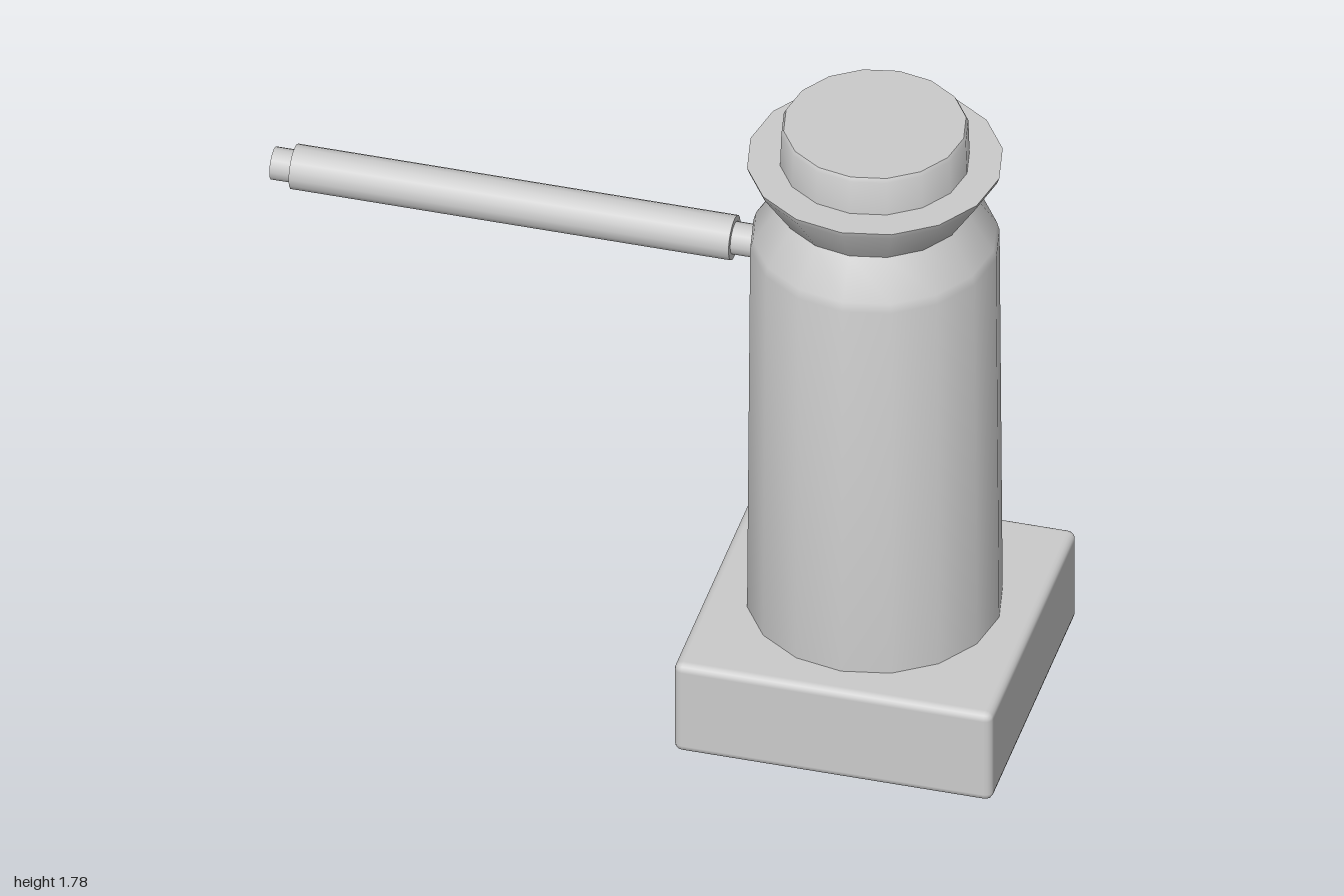
import * as THREE from 'three';
import { toCreasedNormals } from 'three/addons/utils/BufferGeometryUtils.js';
import { RoundedBoxGeometry } from 'three/addons/geometries/RoundedBoxGeometry.js';

const AXIS_X = 0.585; // centre line of the jack body
const HANDLE_Y = 1.343;

export function createModel() {
  const group = new THREE.Group();
  const material = new THREE.MeshStandardMaterial({ color: 0xcccccc });

  const add = (name, geometry, x, y) => {
    const mesh = new THREE.Mesh(geometry, material);
    mesh.name = name;
    mesh.position.set(x, y, 0);
    group.add(mesh);
    return mesh;
  };

  // Sixteen-sided turned part; sharp profile corners stay creased
  const turned = (profile) => toCreasedNormals(
    new THREE.LatheGeometry(profile.map(([r, y]) => new THREE.Vector2(r, y)), 16), 0.7);

  // Heavy square foot with softened edges
  add('base', new RoundedBoxGeometry(0.84, 0.275, 0.83, 2, 0.022), AXIS_X, 0.1375);

  // Cylinder body with sloped shoulder, narrow neck and flared collar
  add('body', turned([
    [0, 0.25], [0.328, 0.25], [0.32, 1.41], [0.313, 1.435],
    [0.247, 1.535], [0.322, 1.65], [0.328, 1.667], [0, 1.667],
  ]), AXIS_X, 0);

  // Lifting saddle on top
  add('saddle', turned([
    [0, 1.64], [0.244, 1.64], [0.24, 1.765], [0.234, 1.776], [0, 1.776],
  ]), AXIS_X, 0);

  // Handle: a thin rod running through a thicker grip
  const rod = (name, radius, x0, x1) => {
    const mesh = add(name, new THREE.CylinderGeometry(radius, radius, x1 - x0, 16),
      (x0 + x1) / 2, HANDLE_Y);
    mesh.rotation.z = Math.PI / 2;
  };
  rod('handleRod', 0.043, -1, 0.32);
  rod('handleGrip', 0.059, -0.945, 0.215);

  return group;
}
